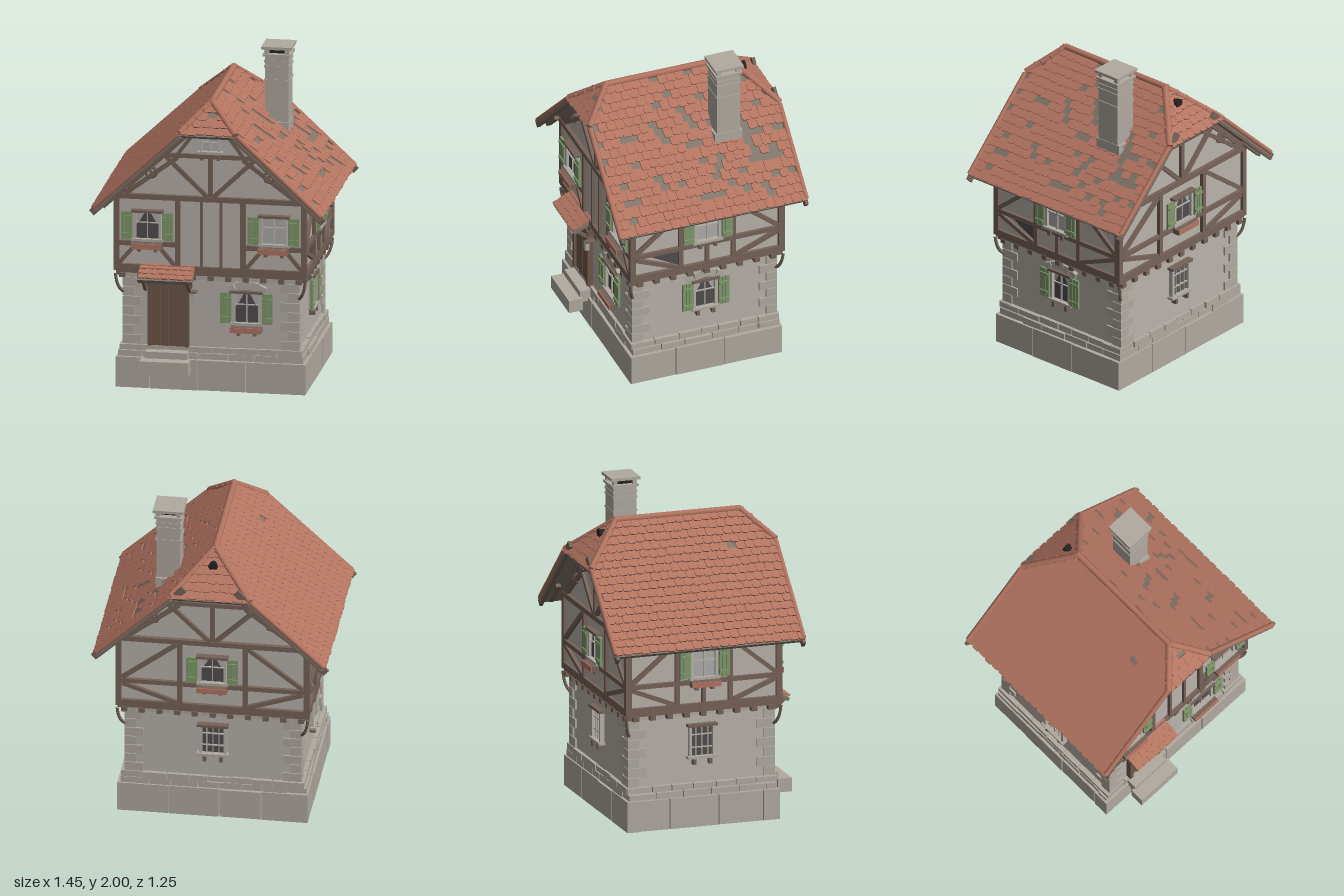
import * as THREE from 'three';
import { mergeGeometries } from 'three/addons/utils/BufferGeometryUtils.js';

const mat = (name, color, side = THREE.FrontSide) => {
  const m = new THREE.MeshStandardMaterial({ color, side });
  m.name = name;
  return m;
};
const stone = mat('stone', 0xb1aaa1), plaster = mat('plaster', 0xb9b3ac), timber = mat('timber', 0x766359);
const clay = mat('clay tile', 0xb37461), underlay = mat('roof underlay', 0x80766a), green = mat('shutter green', 0x80996c);
const doorWood = mat('door wood', 0x6f5748), dark = mat('dark opening', 0x514e4e, THREE.DoubleSide);
const pale = mat('pale glass', 0xaeaeac), black = mat('black', 0x242323, THREE.DoubleSide);

let seed = 7;
const rnd = () => (seed = (seed * 16807) % 2147483647) / 2147483647;
const V = (x, y, z) => new THREE.Vector3(x, y, z);

function add(parent, name, geo, material) {
  const m = new THREE.Mesh(geo, material);
  m.name = name;
  parent.add(m);
  return m;
}
function box(parent, name, material, w, h, d, x, y, z) {
  const m = add(parent, name, new THREE.BoxGeometry(w, h, d), material);
  m.position.set(x, y, z);
  return m;
}
function group(parent, name) {
  const g = new THREE.Group();
  g.name = name;
  parent.add(g);
  return g;
}
// Wall frame: local x to the right, y up, z outward
function face(parent, name, angle, dist) {
  const g = group(parent, name);
  g.rotation.y = angle;
  g.position.set(Math.sin(angle) * dist, 0, Math.cos(angle) * dist);
  return g;
}
function beam(g, x1, y1, x2, y2, w = 0.032, z = 0.006, d = 0.03) {
  const m = box(g, 'beam', timber, Math.hypot(x2 - x1, y2 - y1), w, d, (x1 + x2) / 2, (y1 + y2) / 2, z);
  m.rotation.z = Math.atan2(y2 - y1, x2 - x1);
}
function mirrored(g, x1, y1, x2, y2, w, z, d) {
  beam(g, x1, y1, x2, y2, w, z, d);
  beam(g, -x1, y1, -x2, y2, w, z, d);
}
function rod(parent, name, a, b, r) {
  const m = add(parent, name, new THREE.CylinderGeometry(r, r, a.distanceTo(b), 8), clay);
  m.position.copy(a).lerp(b, 0.5);
  m.quaternion.setFromUnitVectors(V(0, 1, 0), b.clone().sub(a).normalize());
}
const polygon = pts => new THREE.Shape(pts.map(p => new THREE.Vector2(p[0], p[1])));

// Window with optional shutters, flower box, curtains, bars and stone arch
function addWindow(wall, x, y, w, h, o = {}) {
  const g = group(wall, 'window');
  g.position.set(x, y, 0.004);
  box(g, 'pane', o.bars ? dark : pale, w, h, 0.008, 0, 0, 0);
  if (o.curtain) {
    const gap = polygon([[-0.44, -0.46], [0.44, -0.46], [0.46, 0], [0.3, 0.16], [0.1, 0.46], [-0.1, 0.46], [-0.3, 0.16], [-0.46, 0]]);
    const c = add(g, 'curtain gap', new THREE.ShapeGeometry(gap), dark);
    c.scale.set(w, h, 1);
    c.position.z = 0.006;
  }
  for (const s of [-1, 1]) {
    box(g, 'frame side', plaster, 0.018, h, 0.034, s * w / 2, 0, 0.008);
    box(g, 'sill and lintel', s > 0 ? timber : stone, w + 0.04, 0.016, 0.05, 0, s * h / 2, 0.012);
    box(g, 'sill bracket', timber, 0.02, 0.035, 0.035, s * 0.05, -h / 2 - (o.flowers ? 0.055 : 0.028), 0.015);
    if (!o.shutters) continue;
    for (let i = 0; i < 3; i++)
      box(g, 'shutter plank', green, 0.021, h - 0.008, 0.014, s * (w / 2 + 0.024 + i * 0.023), 0, 0.026);
    for (const t of [-0.3, 0.3])
      box(g, 'shutter batten', green, 0.062, 0.016, 0.01, s * (w / 2 + 0.047), t * h, 0.036);
  }
  const n = o.bars ? 3 : 1, thin = o.curtain || o.bars ? 0.006 : 0.01;
  for (let i = 1; i <= n; i++) box(g, 'mullion', plaster, thin, h, 0.014, -w / 2 + w * i / (n + 1), 0, 0.008);
  for (const t of o.bars ? [-0.2, 0.2] : [0.1]) box(g, 'glazing bar', plaster, w, thin, 0.014, 0, h * t, 0.008);
  if (o.flowers) {
    box(g, 'flower box', timber, w + 0.03, 0.032, 0.05, 0, -h / 2 - 0.032, 0.036);
    box(g, 'flower box front', clay, w + 0.03, 0.032, 0.006, 0, -h / 2 - 0.032, 0.064);
  }
  if (o.arch) for (let i = -2; i <= 2; i++) {
    const b = box(g, 'arch stone', stone, 0.046, 0.05, 0.04, i * 0.046, h / 2 + 0.042 - i * i * 0.007, 0.004);
    b.rotation.z = -i * 0.2;
  }
}

// Ring of stone blocks around the house, ragged on the inside
function course(parent, name, y0, y1, hx, hz, depth, len) {
  const geos = [];
  for (const [half, dist, a] of [[hx, hz, 0], [hz, hx, Math.PI / 2], [hx, hz, Math.PI], [hz, hx, -Math.PI / 2]]) {
    let x = -half;
    while (x < half - 0.001) {
      let w = len * (0.8 + rnd() * 0.45);
      if (half - x - w < len * 0.4) w = half - x;
      const d = depth * (0.85 + rnd() * 0.3);
      const b = new THREE.BoxGeometry(w - 0.005, y1 - y0 - rnd() * 0.008, d);
      b.translate(x + w / 2, (y0 + y1) / 2, dist - d / 2 + (rnd() - 0.5) * 0.01);
      geos.push(b.rotateY(a));
      x += w;
    }
  }
  add(parent, name, mergeGeometries(geos), stone);
}

// Sloped roof plane; the first two points are its eave, anticlockwise from outside
function roofPlane(parent, name, pts, missing, row = 0.056, tw = 0.056) {
  const g = group(parent, name);
  const u = pts[1].clone().sub(pts[0]).normalize(), top = pts[2].clone().sub(pts[0]);
  const v = top.clone().addScaledVector(u, -top.dot(u)).normalize();
  const m = new THREE.Matrix4().makeBasis(u, v, u.clone().cross(v)).setPosition(pts[0]);
  m.decompose(g.position, g.quaternion, g.scale);
  const poly = pts.map(p => p.clone().sub(pts[0])).map(p => [p.dot(u), p.dot(v)]);
  const slab = new THREE.ExtrudeGeometry(polygon(poly), { depth: 0.022, bevelEnabled: false });
  add(g, 'roof deck', slab.translate(0, 0, -0.022), underlay);
  const tile = new THREE.ExtrudeGeometry(polygon([[-0.36, 0], [0.36, 0], [0.49, 0.012], [0.49, 0.074], [-0.49, 0.074], [-0.49, 0.012]]),
    { depth: 0.009, bevelEnabled: false });
  const vMax = Math.max(...poly.map(p => p[1])), tiles = [];
  for (let r = 0; r * row < vMax - 0.02; r++) {
    const h = r * row + 0.02, hits = [];
    poly.forEach((p, i) => {
      const q = poly[(i + 1) % poly.length];
      if ((p[1] <= h) !== (q[1] <= h)) hits.push(p[0] + (q[0] - p[0]) * (h - p[1]) / (q[1] - p[1]));
    });
    const lo = Math.min(...hits), hi = Math.max(...hits);
    for (let k = Math.floor(lo / tw) - 1; k * tw < hi; k++) {
      const a = Math.max(lo, (k + (r % 2) / 2) * tw), b = Math.min(hi, (k + 1 + (r % 2) / 2) * tw);
      if (b - a < 0.012 || (rnd() < missing && r > 0)) continue;
      const t = tile.clone().scale(b - a, 1, 1).rotateX(-0.13).rotateZ((rnd() - 0.5) * 0.05);
      tiles.push(t.translate((a + b) / 2, r * row - 0.004 + rnd() * 0.008, 0.01));
    }
  }
  add(g, 'roof tiles', mergeGeometries(tiles), clay);
  return g;
}

export function createModel() {
  const house = group(new THREE.Group(), 'house');
  const H = Math.PI / 2;

  // Foundation
  course(house, 'foundation blocks', 0, 0.192, 0.582, 0.49, 0.07, 0.26);
  course(house, 'plinth lower course', 0.19, 0.232, 0.565, 0.475, 0.14, 0.15);
  course(house, 'plinth upper course', 0.232, 0.272, 0.557, 0.48, 0.08, 0.13);
  box(house, 'cellar ceiling', black, 1.04, 0.008, 0.88, 0, 0.226, 0);

  // Ground floor with corner stones and curved brackets
  box(house, 'ground floor wall', plaster, 1.06, 0.49, 0.92, 0, 0.475, 0);
  for (const sx of [-1, 1]) for (const sz of [-1, 1]) {
    for (let i = 0; i < 7; i++) {
      const a = i % 2 ? 0.07 : 0.115, b = i % 2 ? 0.115 : 0.07;
      box(house, 'corner stone', stone, a, 0.056, b, sx * (0.541 - a / 2), 0.3 + i * 0.06, sz * (0.471 - b / 2));
    }
    const curve = new THREE.QuadraticBezierCurve3(V(sx * 0.535, 0.595, sz * 0.462), V(sx * 0.575, 0.62, sz * 0.49), V(sx * 0.582, 0.72, sz * 0.495));
    add(house, 'curved bracket', new THREE.TubeGeometry(curve, 8, 0.01, 6), timber);
  }

  // Jetty floor with joist ends between stones
  box(house, 'jetty floor', timber, 1.16, 0.016, 0.98, 0, 0.729, 0);
  box(house, 'wall top stones', stone, 1.09, 0.03, 0.95, 0, 0.706, 0);
  for (const s of [-1, 1]) {
    for (let i = -5; i <= 5; i++) box(house, 'joist end', timber, 0.036, 0.03, 0.08, i * 0.108, 0.708, s * 0.458);
    for (let i = -4; i <= 4; i++) box(house, 'joist end', timber, 0.08, 0.03, 0.036, s * 0.545, 0.708, i * 0.108);
  }

  // Upper floor and gables
  const gable = polygon([[-0.57, 0.735], [0.57, 0.735], [0.57, 1.22], [0.134, 1.63], [-0.134, 1.63], [-0.57, 1.22]]);
  add(house, 'upper floor wall', new THREE.ExtrudeGeometry(gable, { depth: 0.96, bevelEnabled: false }).translate(0, 0, -0.48), plaster);
  const front = face(house, 'front timbering', 0, 0.48), back = face(house, 'back timbering', Math.PI, 0.48);
  const right = face(house, 'right timbering', H, 0.57), left = face(house, 'left timbering', -H, 0.57);
  for (const g of [front, back]) {
    beam(g, -0.59, 0.757, 0.59, 0.757, 0.042);
    beam(g, -0.6, 1.205, 0.6, 1.205, 0.032, 0.01);
    beam(g, -0.33, 1.472, 0.33, 1.472, 0.026);
    beam(g, 0, 1.22, 0, 1.47, 0.026);
    mirrored(g, 0.575, 0.74, 0.575, 1.21, 0.034);
    mirrored(g, 0.2, 0.76, 0.2, 1.2);
    mirrored(g, 0.59, 1.19, 0.14, 1.61, 0.034);
    mirrored(g, 0.02, 1.22, 0.27, 1.46, 0.026);
    mirrored(g, 0.2, 1.46, 0.52, 1.22, 0.026);
    mirrored(g, 0.12, 1.59, 0.2, 1.48, 0.022);
    mirrored(g, 0.71, 1.118, 0.16, 1.63, 0.042, 0.115, 0.02);
    mirrored(g, 0.335, 1.33, 0.385, 1.39, 0.016);
    for (const s of [-1, 1]) {
      const rose = add(g, 'rosette ring', new THREE.TorusGeometry(0.032, 0.009, 6, 12), timber);
      rose.position.set(s * 0.362, 1.36, 0.014);
    }
  }
  addWindow(front, 0, 1.55, 0.11, 0.1);
  mirrored(front, 0.2, 0.91, 0.57, 0.91, 0.03);
  mirrored(front, 0.56, 0.78, 0.46, 0.9, 0.024);
  mirrored(front, 0.22, 0.78, 0.32, 0.9, 0.024);
  for (const x of [-0.055, 0.065]) beam(front, x, 0.77, x, 1.19, 0.016);
  mirrored(back, 0.2, 0.91, 0.57, 0.91, 0.028);
  mirrored(back, 0.55, 0.93, 0.22, 1.18, 0.026);
  mirrored(back, 0.55, 0.89, 0.22, 0.78, 0.026);
  beam(back, -0.2, 0.91, 0.2, 0.91, 0.028);
  for (const g of [right, left]) {
    beam(g, -0.49, 0.757, 0.49, 0.757, 0.042);
    beam(g, -0.49, 0.91, 0.49, 0.91, 0.028);
    beam(g, -0.49, 1.16, 0.49, 1.16, 0.036);
    beam(g, 0, 0.76, 0, 0.91, 0.024);
    mirrored(g, 0.48, 0.74, 0.48, 1.17, 0.034);
    mirrored(g, 0.17, 0.76, 0.17, 1.16, 0.028);
    mirrored(g, 0.46, 0.93, 0.19, 1.15, 0.026);
    mirrored(g, 0.46, 0.89, 0.19, 0.78, 0.026);
  }
  add(right, 'damaged panel', new THREE.ShapeGeometry(polygon([[-0.38, 0.895], [-0.185, 0.895], [-0.185, 0.79]])), dark).position.z = 0.003;

  // Windows
  const lower = { front: face(house, 'front ground wall', 0, 0.46), back: face(house, 'back ground wall', Math.PI, 0.46),
    right: face(house, 'right ground wall', H, 0.53), left: face(house, 'left ground wall', -H, 0.53) };
  addWindow(front, -0.385, 1.025, 0.155, 0.18, { shutters: true, flowers: true, curtain: true });
  addWindow(front, 0.39, 1.025, 0.155, 0.18, { shutters: true, flowers: true });
  addWindow(back, 0, 1.025, 0.155, 0.18, { shutters: true, flowers: true, curtain: true });
  addWindow(right, 0, 1.025, 0.155, 0.18, { shutters: true });
  addWindow(left, 0, 1.025, 0.155, 0.18, { shutters: true, flowers: true });
  addWindow(lower.front, 0.22, 0.53, 0.16, 0.2, { shutters: true, flowers: true, curtain: true, arch: true });
  addWindow(lower.right, 0, 0.53, 0.14, 0.2, { shutters: true, curtain: true, arch: true });
  addWindow(lower.back, 0, 0.53, 0.15, 0.2, { bars: true });
  addWindow(lower.left, 0, 0.53, 0.15, 0.2, { bars: true });

  // Door, steps, lantern and awning
  const entry = group(house, 'entrance');
  for (let i = 0; i < 4; i++) box(entry, 'door plank', doorWood, 0.048, 0.37, 0.02, -0.335 + i * 0.05, 0.455, 0.468 + (i % 2) * 0.004);
  for (const x of [-0.373, -0.147]) box(entry, 'door post', doorWood, 0.024, 0.38, 0.04, x, 0.46, 0.475);
  box(entry, 'door lintel', doorWood, 0.29, 0.036, 0.05, -0.26, 0.658, 0.478);
  box(entry, 'upper step', stone, 0.26, 0.08, 0.08, -0.265, 0.205, 0.505);
  box(entry, 'lower step', stone, 0.3, 0.085, 0.09, -0.265, 0.162, 0.578);
  box(entry, 'lantern', pale, 0.028, 0.05, 0.028, -0.1, 0.59, 0.515);
  box(entry, 'lantern cap', timber, 0.034, 0.01, 0.06, -0.1, 0.62, 0.495);
  roofPlane(entry, 'awning', [V(-0.43, 0.71, 0.605), V(-0.095, 0.71, 0.605), V(-0.095, 0.765, 0.49), V(-0.43, 0.765, 0.49)], 0, 0.044, 0.048);
  for (const x of [-0.4, -0.13]) {
    const strut = box(entry, 'awning strut', timber, 0.018, 0.14, 0.018, x, 0.66, 0.53);
    strut.rotation.x = 0.9;
  }

  // Half-hipped roof
  const roof = group(house, 'roof');
  const P = (x, z) => V(x, 1.795 - 0.93 * Math.abs(x), z);
  const rightRoof = roofPlane(roof, 'right slope', [P(0.7, 0.61), P(0.7, -0.61), P(0.25, -0.61), P(0, -0.36), P(0, 0.43), P(0.18, 0.61)], 0.18);
  const leftRoof = roofPlane(roof, 'left slope', [P(-0.7, -0.61), P(-0.7, 0.61), P(-0.18, 0.61), P(0, 0.43), P(0, -0.36), P(-0.25, -0.61)], 0.008);
  roofPlane(roof, 'front hip', [P(-0.18, 0.61), P(0.18, 0.61), P(0, 0.43)], 0.08);
  roofPlane(roof, 'back hip', [P(0.25, -0.61), P(-0.25, -0.61), P(0, -0.36)], 0.03);
  for (const g of [rightRoof, leftRoof])
    for (let i = 0; i < 11; i++) box(g, 'rafter tail', timber, 0.03, 0.19, 0.026, 0.06 + i * 0.11, 0.135, -0.033);
  const up = p => p.add(V(0, 0.008, 0));
  rod(roof, 'ridge tiles', up(P(0, 0.44)), up(P(0, -0.37)), 0.021);
  for (const s of [-1, 1]) for (const [x, z, rz] of [[0.18, 0.61, 0.43], [0.25, -0.61, -0.36]]) {
    rod(roof, 'hip tiles', up(P(s * (x - 0.008), z - Math.sign(z) * 0.008)), up(P(0, rz)), 0.021);
    rod(roof, 'verge tiles', up(P(s * 0.695, z * 0.985)), up(P(s * x, z * 0.985)), 0.016);
  }
  const vent = add(roof, 'roof vent', new THREE.CylinderGeometry(0.03, 0.016, 0.075, 8).rotateX(-H), black);
  vent.position.set(0, 1.728, -0.435);

  // Chimney
  const chimney = group(house, 'chimney');
  chimney.position.set(0.298, 0, -0.222);
  box(chimney, 'shaft', stone, 0.145, 0.5, 0.15, 0, 1.69, 0);
  box(chimney, 'base', stone, 0.152, 0.06, 0.178, 0, 1.5, 0);
  for (const [y, w, h] of [[1.787, 0.156, 0.012], [1.872, 0.156, 0.012], [1.905, 0.156, 0.012], [1.945, 0.172, 0.014], [1.991, 0.185, 0.018]])
    box(chimney, 'band', stone, w, h, w, 0, y, 0);
  box(chimney, 'flue', black, 0.1, 0.036, 0.1, 0, 1.966, 0);
  for (const x of [-0.062, 0.062]) for (const z of [-0.062, 0.062]) box(chimney, 'cap post', stone, 0.026, 0.036, 0.026, x, 1.966, z);
  return house;
}
